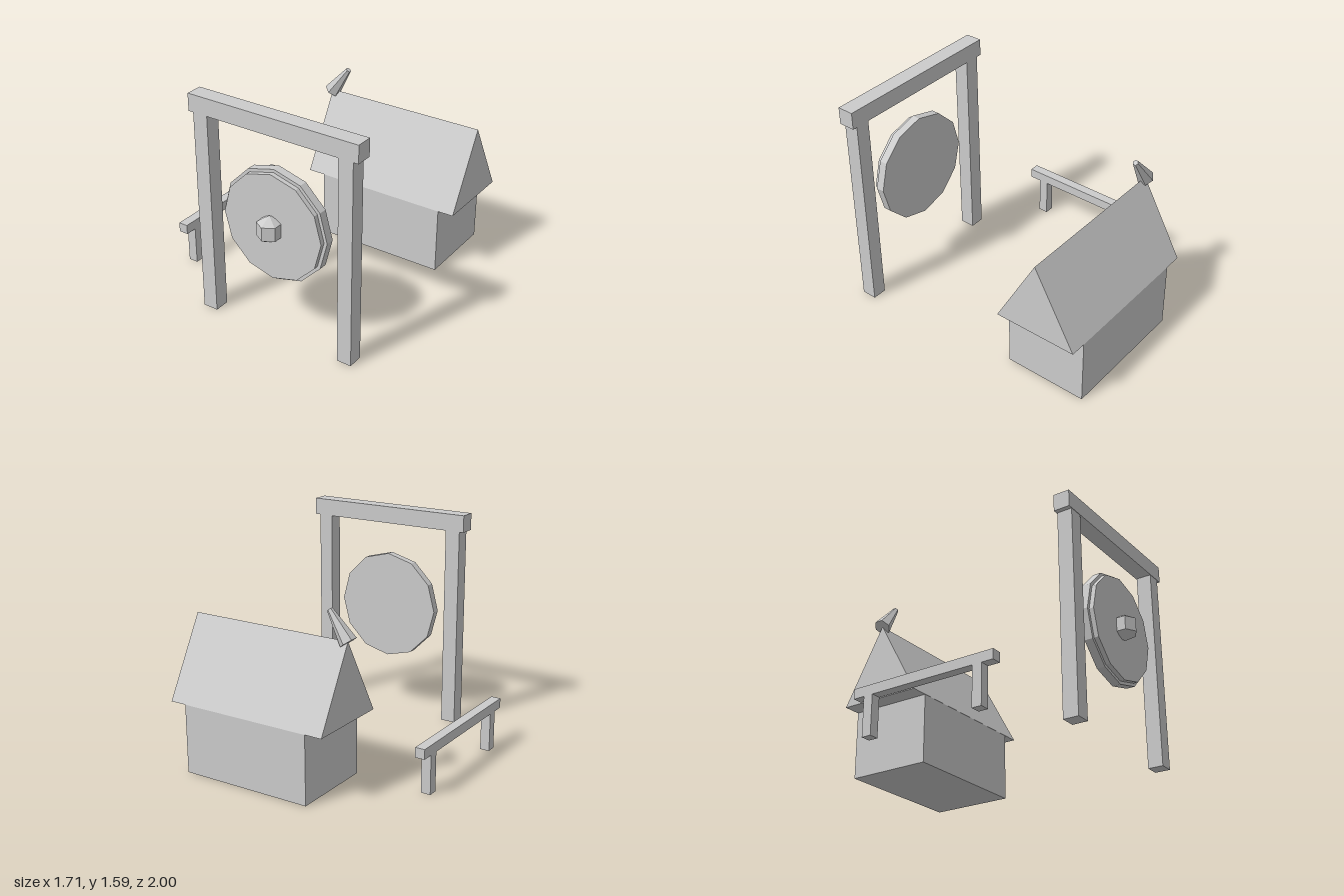
import * as THREE from 'three';

export function createModel() {
  const root = new THREE.Group();
  const material = new THREE.MeshStandardMaterial({ color: 0xcccccc, flatShading: true });

  const add = (parent, name, geometry, x = 0, y = 0, z = 0) => {
    const mesh = new THREE.Mesh(geometry, material);
    mesh.name = name;
    mesh.position.set(x, y, z);
    parent.add(mesh);
    return mesh;
  };
  const group = (name) => {
    const g = new THREE.Group();
    g.name = name;
    root.add(g);
    return g;
  };
  // Box given by its minimum and maximum on each axis
  const box = (parent, name, [x0, x1], [y0, y1], [z0, z1]) =>
    add(parent, name, new THREE.BoxGeometry(x1 - x0, y1 - y0, z1 - z0),
      (x0 + x1) / 2, (y0 + y1) / 2, (z0 + z1) / 2);

  // Gate: two posts and a cross beam
  const gate = group('gate');
  box(gate, 'rightPost', [-0.39, -0.28], [0, 1.47], [0.777, 0.887]);
  box(gate, 'leftPost', [0.71, 0.815], [0, 1.47], [0.777, 0.887]);
  box(gate, 'beam', [-0.425, 0.853], [1.465, 1.588], [0.772, 0.89]);

  // Gong: twelve-sided disc, smaller front plate and a faceted boss
  const gong = group('gong');
  gong.position.set(0.215, 0.827, 0);
  const disc = (name, radius, z0, z1) => {
    const g = new THREE.CylinderGeometry(radius, radius, z1 - z0, 12).rotateX(Math.PI / 2);
    add(gong, name, g, 0, 0, (z0 + z1) / 2);
  };
  disc('gongDisc', 0.4, 0.8, 0.86);
  disc('gongFrontPlate', 0.377, 0.86, 0.893);
  add(gong, 'gongBoss', new THREE.SphereGeometry(0.0975, 6, 3).rotateY(Math.PI / 6), 0, 0, 0.915);

  // House: walls and a gabled roof overhanging both ends
  const house = group('house');
  box(house, 'walls', [-0.27, 0.702], [0, 0.492], [-0.998, -0.392]);
  const gable = new THREE.Shape([
    new THREE.Vector2(-0.305, 0),
    new THREE.Vector2(0.305, 0),
    new THREE.Vector2(0, 0.55),
  ]);
  const roof = new THREE.ExtrudeGeometry(gable, { depth: 1.217, bevelEnabled: false });
  add(house, 'roof', roof.rotateY(Math.PI / 2), -0.397, 0.49, -0.695);

  // Tapered six-sided horn leaning over the end of the ridge
  const horn = add(house, 'ridgeHorn', new THREE.CylinderGeometry(0.02, 0.06, 0.24, 6),
    -0.33, 1.132, -0.695);
  horn.rotation.z = -0.62;

  // Bench: long narrow plank on two legs
  const bench = group('bench');
  const benchX = [-0.855, -0.785];
  box(bench, 'plank', benchX, [0.28, 0.35], [-0.51, 0.585]);
  box(bench, 'frontLeg', benchX, [0, 0.28], [0.43, 0.5]);
  box(bench, 'backLeg', benchX, [0, 0.28], [-0.425, -0.355]);

  return root;
}
